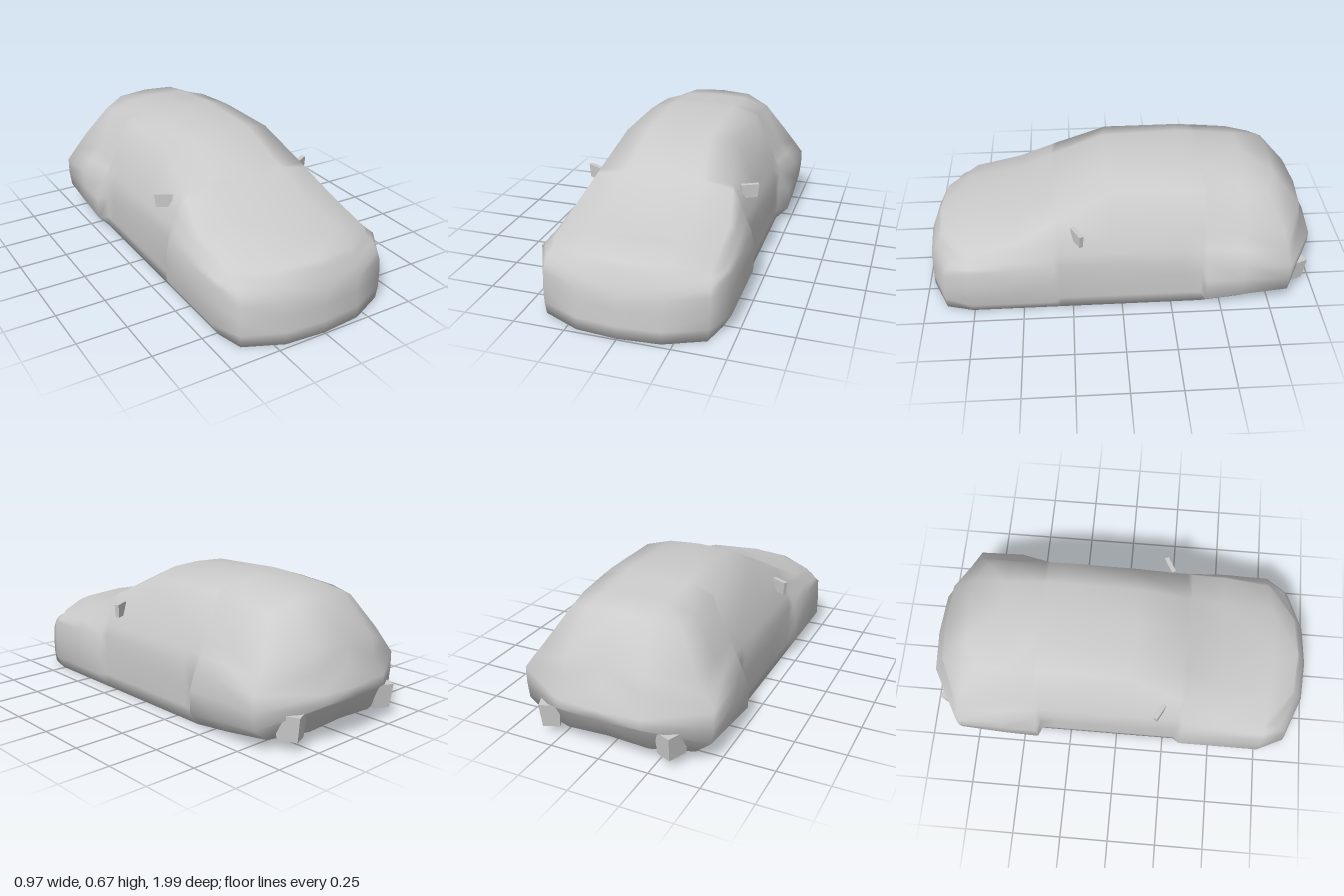
import * as THREE from 'three';
import { mergeVertices } from 'three/addons/utils/BufferGeometryUtils.js';

const grey = () => new THREE.MeshStandardMaterial({ color: 0xcccccc });

// Front end, bonnet lip down to the chin: centre, middle and corner point per row
const nose = [
  [[0, 0.345, 0.92], [0.2, 0.338, 0.9], [0.375, 0.305, 0.8]],
  [[0, 0.31, 0.94], [0.2, 0.3, 0.92], [0.385, 0.28, 0.845]],
  [[0, 0.265, 0.962], [0.2, 0.26, 0.942], [0.39, 0.25, 0.87]],
  [[0, 0.21, 0.982], [0.2, 0.21, 0.966], [0.395, 0.21, 0.885]],
  [[0, 0.14, 0.986], [0.2, 0.14, 0.97], [0.395, 0.14, 0.893]],
  [[0, 0.06, 0.99], [0.2, 0.06, 0.974], [0.392, 0.06, 0.896]],
  [[0, 0, 0.993], [0.2, 0, 0.976], [0.385, 0, 0.892]],
];

// Rear end, roof edge down to the bumper bottom
const tail = [
  [[0, 0.63, -0.77], [0.16, 0.62, -0.765], [0.28, 0.575, -0.72]],
  [[0, 0.43, -0.93], [0.2, 0.43, -0.915], [0.385, 0.41, -0.8]],
  [[0, 0.33, -0.94], [0.21, 0.33, -0.925], [0.44, 0.335, -0.815]],
  [[0, 0.25, -1], [0.21, 0.25, -0.985], [0.485, 0.27, -0.83]],
  [[0, 0.2, -1], [0.21, 0.2, -0.985], [0.485, 0.19, -0.83]],
  [[0, 0.18, -0.972], [0.21, 0.175, -0.955], [0.475, 0.11, -0.83]],
  [[0, 0.07, -0.91], [0.21, 0.06, -0.91], [0.4, 0.05, -0.83]],
];

// Stations between them: centre z, y; roof edge z, x, y; belt x, shoulder x, lower x
const stations = [
  [0.79, 0.395, 0.76, 0.385, 0.335, 0.415, 0.455, 0.46],
  [0.52, 0.435, 0.52, 0.385, 0.39, 0.41, 0.455, 0.46],
  [0.34, 0.527, 0.34, 0.347, 0.484, 0.39, 0.445, 0.46],
  [0.31, 0.542, 0.31, 0.341, 0.5, 0.39, 0.43, 0.43],
  [0.08, 0.66, 0.05, 0.293, 0.622, 0.39, 0.43, 0.43],
  [-0.32, 0.672, -0.32, 0.295, 0.622, 0.388, 0.43, 0.43],
  [-0.4, 0.668, -0.4, 0.293, 0.618, 0.388, 0.435, 0.432],
  [-0.43, 0.665, -0.42, 0.293, 0.616, 0.388, 0.445, 0.485],
  [-0.62, 0.647, -0.6, 0.288, 0.602, 0.388, 0.484, 0.485],
];

// Bonnet or roof row of a station
function topRow([zc, yc, z, x, y]) {
  return [
    [0, yc, zc],
    [0.56 * x, yc - 0.16 * (yc - y), zc + 0.3 * (z - zc)],
    [x, y, z],
  ];
}

// Side column of a station, from the roof edge down to the sill
function sideColumn([, , z, x, y, belt, shoulder, low]) {
  const rise = Math.max(0, -0.4 - z) * 0.12;
  const beltY = Math.min(0.4, y - 0.03);
  const shoulderY = Math.min(0.285, beltY - 0.03);
  return [
    [x, y, z],
    [belt, beltY, z],
    [(belt + shoulder) / 2, (beltY + shoulderY) / 2, z],
    [shoulder, shoulderY, z],
    [low, 0.19, z],
    [low, 0.07 + rise, z],
    [0.42, rise, z],
  ];
}

// Collects the triangles of a grid of points together with their mirror image
function addGrid(out, rows) {
  const tri = (a, b, c) => {
    out.push(...a, ...b, ...c);
    for (const [x, y, z] of [a, c, b]) out.push(x ? -x : 0, y, z);
  };
  for (let i = 0; i < rows.length - 1; i++) {
    for (let j = 0; j < rows[i].length - 1; j++) {
      const a = rows[i][j], b = rows[i][j + 1];
      const c = rows[i + 1][j + 1], d = rows[i + 1][j];
      tri(a, b, c);
      tri(a, c, d);
    }
  }
}

function bodyGeometry() {
  const out = [];
  const corner = (row) => row[2];

  // Bumper, bonnet, windscreen, roof and hatch in one lengthwise strip
  addGrid(out, [...nose.slice().reverse(), ...stations.map(topRow), ...tail]);

  // Flanks with the wheel flares
  const sides = [nose.map(corner), ...stations.map(sideColumn), tail.map(corner)];
  addGrid(out, sides);

  // Floor
  const floor = sides.map((column) => {
    const [x, y, z] = column[6];
    return [[x, y, z], [0.2, y, z], [0, y, z]];
  });
  addGrid(out, [nose[6].slice().reverse(), ...floor, tail[6].slice().reverse()]);

  const geometry = new THREE.BufferGeometry();
  geometry.setAttribute('position', new THREE.Float32BufferAttribute(out, 3));
  const welded = mergeVertices(geometry, 1e-4);
  welded.computeVertexNormals();
  return welded;
}

// Box whose lower end is narrowed
function taperedBox(w, h, d, taper) {
  const geometry = new THREE.BoxGeometry(w, h, d);
  const p = geometry.attributes.position;
  for (let i = 0; i < p.count; i++) {
    if (p.getY(i) < 0) p.setXYZ(i, p.getX(i) * taper, p.getY(i), p.getZ(i) * taper);
  }
  geometry.computeVertexNormals();
  return geometry;
}

export function createModel() {
  const car = new THREE.Group();
  car.name = 'car';

  const body = new THREE.Mesh(bodyGeometry(), grey());
  body.name = 'body';
  car.add(body);

  for (const side of [1, -1]) {
    const label = side > 0 ? 'left' : 'right';

    // Door mirror, swept back at the outer end
    const mirror = new THREE.Mesh(taperedBox(0.09, 0.068, 0.022, 0.85), grey());
    mirror.name = label + 'Mirror';
    mirror.position.set(side * 0.402, 0.439, 0.218);
    mirror.rotation.y = side * 0.5;
    car.add(mirror);

    // Block under the bumper corner
    const block = new THREE.Mesh(taperedBox(0.1, 0.12, 0.12, 0.8), grey());
    block.name = label + 'BumperBlock';
    block.position.set(side * 0.31, 0.11, -0.885);
    block.rotation.y = side * 0.4;
    car.add(block);
  }
  return car;
}
